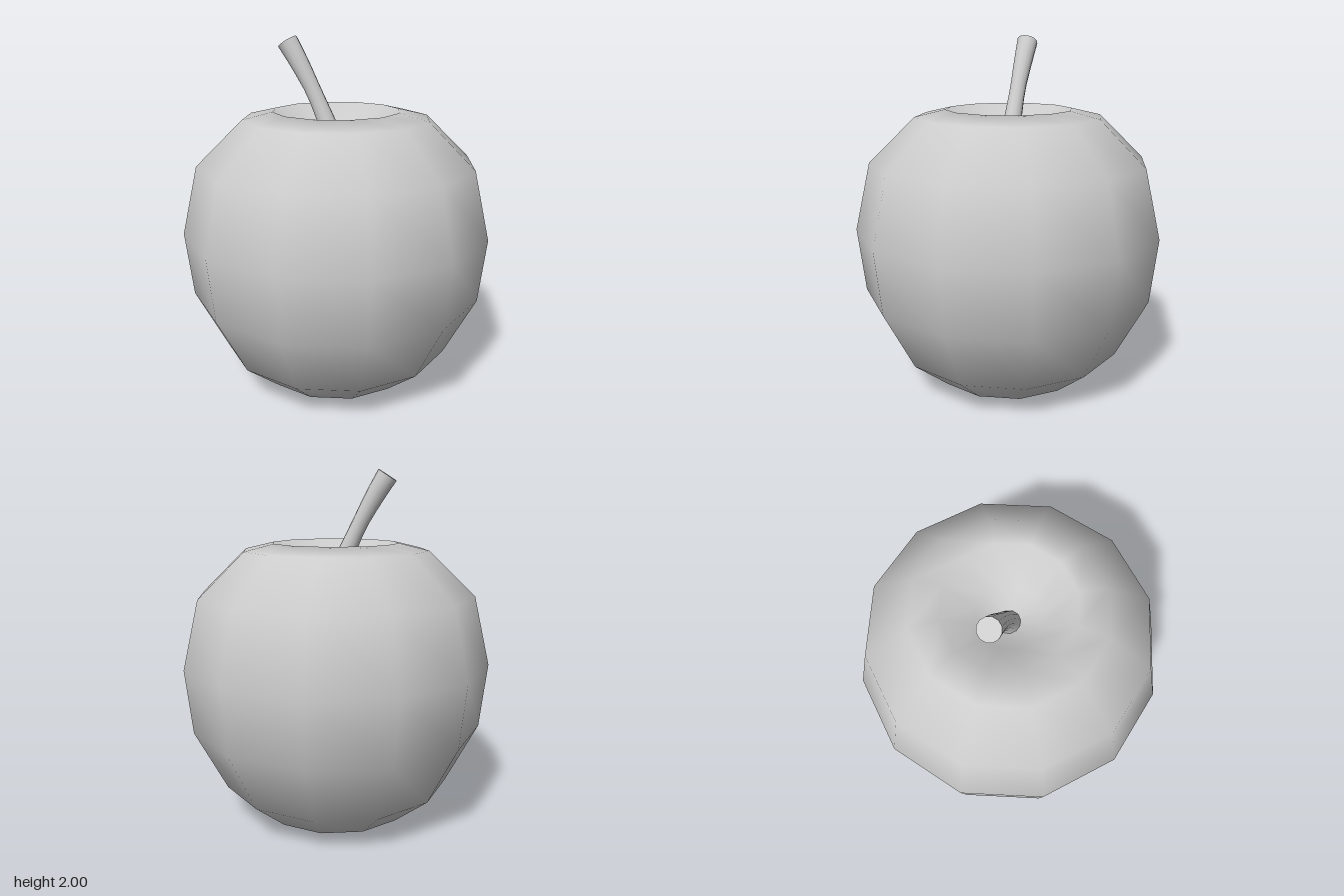
import * as THREE from 'three';
import { toCreasedNormals } from 'three/addons/utils/BufferGeometryUtils.js';

const material = new THREE.MeshStandardMaterial({ color: 0xcccccc });

// Twelve-sided fruit body with a dimple at the bottom and the top
function createBody() {
  const profile = [
    [0, 0.14], [0.17, 0.11], [0.34, 0], [0.45, 0.035], [0.66, 0.21], [0.84, 0.56],
    [0.88, 0.925], [0.79, 1.31], [0.53, 1.56], [0.36, 1.6], [0.18, 1.44], [0, 1.4],
  ].map(([r, y]) => new THREE.Vector2(r, y));
  const body = new THREE.Mesh(new THREE.LatheGeometry(profile, 12), material);
  body.name = 'body';
  return body;
}

// Stem: a cylinder bent along a curve, flared at both ends
function createStem() {
  const curve = new THREE.QuadraticBezierCurve3(
    new THREE.Vector3(0, 1.36, 0),
    new THREE.Vector3(-0.08, 1.64, 0),
    new THREE.Vector3(-0.29, 1.97, 0),
  );
  const geometry = new THREE.CylinderGeometry(1, 1, 1, 12, 8);
  const position = geometry.attributes.position;
  const side = new THREE.Vector3();
  for (let i = 0; i < position.count; i++) {
    const t = THREE.MathUtils.clamp(position.getY(i) + 0.5, 0, 1);
    const radius = t < 0.6
      ? 0.045 + 0.027 * (1 - t / 0.6) ** 2
      : 0.045 + 0.015 * ((t - 0.6) / 0.4);
    const point = curve.getPoint(t);
    const tangent = curve.getTangent(t);
    side.set(tangent.y, -tangent.x, 0);
    point.addScaledVector(side, position.getX(i) * radius);
    position.setXYZ(i, point.x, point.y, position.getZ(i) * radius);
  }
  const stem = new THREE.Mesh(toCreasedNormals(geometry, Math.PI / 3), material);
  stem.name = 'stem';
  return stem;
}

export function createModel() {
  const model = new THREE.Group();
  model.name = 'apple';
  model.add(createBody(), createStem());
  return model;
}
